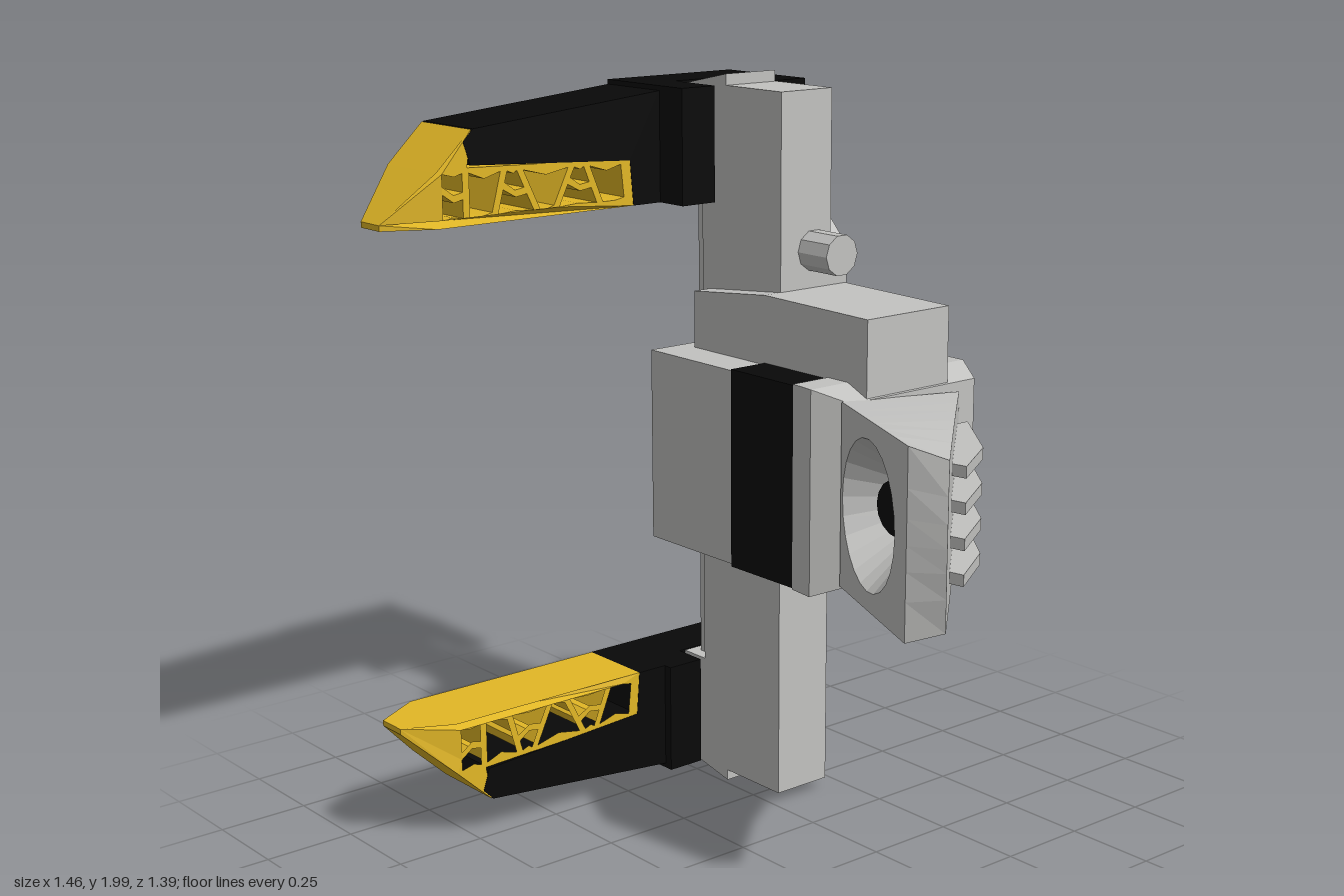
import * as THREE from 'three';

const mat = (name, color) => {
  const m = new THREE.MeshStandardMaterial({ color, flatShading: true });
  m.name = name;
  return m;
};

export function createModel() {
  const model = new THREE.Group();
  model.name = 'parallelGripper';
  const grey = mat('metal grey', 0xc2c2c0);
  const black = mat('black plastic', 0x090909);
  const yellow = mat('yellow pad', 0xe2b726);

  const add = (name, geo, material) => {
    const mesh = new THREE.Mesh(geo, material);
    mesh.name = name;
    model.add(mesh);
    return mesh;
  };
  // Box from its limits
  const box = (name, material, x0, x1, y0, y1, z0, z1) =>
    add(name, new THREE.BoxGeometry(x1 - x0, y1 - y0, z1 - z0)
      .translate((x0 + x1) / 2, (y0 + y1) / 2, (z0 + z1) / 2), material);
  const v2 = (pts) => pts.map(([a, b]) => new THREE.Vector2(a, b));
  const extrude = (pts, depth, holes = []) => {
    const shape = new THREE.Shape(v2(pts));
    holes.forEach((h) => shape.holes.push(new THREE.Path(v2(h))));
    return new THREE.ExtrudeGeometry(shape, { depth, bevelEnabled: false });
  };
  // Plan outline [x, z] raised from y0 to y1
  const planPrism = (pts, y0, y1) =>
    extrude(pts.map(([x, z]) => [x, -z]), y1 - y0).rotateX(-Math.PI / 2).translate(0, y0, 0);
  // Side outline [z, y] extruded from x0 to x1
  const sidePrism = (pts, x0, x1, holes) =>
    extrude(pts, x1 - x0, holes).rotateY(-Math.PI / 2).translate(x1, 0, 0);
  // Move the vertices of a geometry by a rule
  const bend = (geo, rule) => {
    const p = geo.attributes.position, v = new THREE.Vector3();
    for (let i = 0; i < p.count; i++) {
      v.fromBufferAttribute(p, i);
      rule(v);
      p.setXYZ(i, v.x, v.y, v.z);
    }
    geo.computeVertexNormals();
    return geo;
  };

  // Linear rail with its guide strip
  box('rail', grey, -0.48, -0.16, 0.04, 1.97, -0.44, -0.265);
  box('guideStrip', grey, -0.54, -0.48, 0.04, 1.97, -0.4, -0.3);

  // Two mirrored fingers
  const finger = (flip, frontArm) => {
    const side = flip ? 'lower' : 'upper';
    const fy = (y) => (flip ? 2.01 - y : y);
    const my = (pts) => pts.map(([z, y]) => [z, fy(y)]);
    const lo = Math.min(fy(1.66), fy(1.968)), hi = Math.max(fy(1.66), fy(1.968));

    // C-shaped carriage around the rail
    add(side + 'Carriage', planPrism([[-0.73, -0.57], [-0.41, -0.57], [-0.41, -0.46], [-0.575, -0.46],
      [-0.575, -0.25], [frontArm, -0.25], [frontArm, -0.14], [-0.73, -0.14]], lo, hi), black);
    const clip = bend(new THREE.BoxGeometry(0.19, 0.34, 0.17).translate(-0.475, fy(1.83), -0.35), (v) => {
      if (v.x < -0.5 && Math.abs(v.y - 1.005) > 0.9) v.y = fy(1.96);
    });
    add(side + 'RailClip', clip, grey);

    // Finger beam
    add(side + 'FingerBeam', sidePrism(my([[-0.2, 1.66], [-0.05, 1.66], [-0.04, 1.78], [0.46, 1.81],
      [0.48, 1.87], [0.45, 1.9], [-0.14, 1.955], [-0.2, 1.955]]), -0.73, -0.505), black);

    // Lattice pad: slanted webs, every other cell split in two, and a tapered tip
    const cuts = [[-0.03, -0.02], [0.06, 0.1], [0.2, 0.15], [0.26, 0.31], [0.39, 0.36], [0.475, 0.475], [0.555, 0.555]];
    const holes = [];
    for (let i = 0; i < cuts.length - 1; i++) {
      const [a, b] = cuts[i], [c, d] = cuts[i + 1];
      // Point in the cell: s across, t from the flat face up to the beam
      const at = (s, t) => {
        const l = a + 0.01 + (b - a) * t, r = c - 0.01 + (d - c) * t;
        const z = l + (r - l) * s;
        return [z, 1.68 + t * (0.093 + z * 0.04)];
      };
      if (i % 2) {
        holes.push(my([at(0, 0), at(0.5, 0.04), at(1, 0), at(1, 0.56), at(0.45, 0.36), at(0, 0.42)]));
        holes.push(my([at(0, 0.58), at(0.45, 0.53), at(1, 0.73), at(1, 1), at(0.4, 0.93), at(0, 1)]));
      } else {
        holes.push(my([at(0, 0.06), at(0.4, 0), at(1, 0), at(1, 1), at(0.5, 0.85), at(0, 1)]));
      }
    }
    const pad = sidePrism(my([[-0.05, 1.66], [0.56, 1.66], [0.69, 1.66], [0.69, 1.675], [0.56, 1.8],
      [0.455, 1.899], [0.47, 1.805], [-0.05, 1.785]]), -0.729, -0.506, holes);
    bend(pad, (v) => { if (v.z > 0.6) v.x = -0.612 + (v.x + 0.612) * 0.38; });
    add(side + 'FingerPad', pad, yellow);
  };
  finger(false, -0.41);
  finger(true, -0.48);

  // Main body, strap and upper housing
  box('frontCover', grey, -0.5, -0.15, 0.74, 1.265, -0.25, -0.1);
  box('strap', black, -0.16, 0.09, 0.735, 1.27, -0.62, -0.095);
  add('bodyEnd', bend(new THREE.BoxGeometry(0.15, 0.542, 0.53, 2, 1, 1).translate(0.16, 1.003, -0.358), (v) => {
    if (v.x > 0.2) {
      v.y = 1.005 + (v.y - 1.005) * 0.88;
      v.z = v.z > -0.3 ? -0.15 : -0.59;
    } else if (v.x > 0.1 && v.z > -0.3) v.z = -0.085;
  }), grey);
  add('upperHousing', extrude([[-0.45, 1.2], [0.23, 1.2], [0.23, 1.445], [-0.16, 1.45], [-0.45, 1.42]], 0.285)
    .translate(0, 0, -0.495), grey);
  add('rearBrace', extrude([[-0.48, 1.2], [-0.16, 1.2], [-0.16, 1.55], [-0.24, 1.63], [-0.42, 1.63], [-0.48, 1.42]], 0.08)
    .translate(0, 0, -0.5), grey);
  add('knob', new THREE.CylinderGeometry(0.055, 0.055, 0.13, 10).rotateZ(Math.PI / 2).translate(-0.115, 1.55, -0.38), grey);

  // Octagonal rear mounting flange, its rear face drawn in
  const ring = (rx, ry, n) => Array.from({ length: n }, (_, i) => {
    const a = (i / n) * Math.PI * 2;
    return [-0.265 + rx * Math.cos(a), 1.01 + ry * Math.sin(a)];
  });
  add('rearFlange', bend(extrude(ring(0.345, 0.3, 8), 0.105, [ring(0.19, 0.17, 8)]).translate(0, 0, -0.697), (v) => {
    if (v.z < -0.65) {
      v.y = 0.98 + (v.y - 0.99) * 0.9;
      if (v.x < -0.47) v.x += 0.08;
    }
  }), grey);
  add('flangeCore', new THREE.CylinderGeometry(0.2, 0.2, 0.17, 8).rotateX(Math.PI / 2).translate(-0.265, 1.01, -0.525), grey);
  add('flangeHub', new THREE.CylinderGeometry(0.07, 0.11, 0.05, 7).rotateX(-Math.PI / 2).translate(-0.265, 1.01, -0.63), grey);
  box('flangeSocket', black, -0.24, -0.05, 0.87, 1.17, -0.625, -0.5);
  for (const [y, r] of [[1.28, 0.05], [0.74, 0.04]]) {
    add('flangeBolt', new THREE.CylinderGeometry(r, r, 0.13, 8).rotateZ(Math.PI / 2).translate(-0.09, y, -0.64), grey);
  }

  // Sensor head: loops from the outer face, round the front rim and down into the bowl
  const N = 24, pos = [], idx = [];
  const outer = [[0.235, -0.535], [0.73, 0.0]], front = [[0.225, -0.13], [0.645, 0.05]];
  const loops = [
    { e: outer, h: 0.22, r: 0, sq: 0 },
    { e: outer, h: 0.22, r: 1, sq: 0.85 },
    { e: front, h: 0.24, r: 1, sq: 1 },
    { e: front, h: 0.24, r: 0.8, sq: 0, off: -0.14 },
    { e: front, h: 0.24, r: 0.38, sq: 0, off: -0.12, dz: -0.15 },
    { e: front, h: 0.24, r: 0, sq: 0, off: -0.12, dz: -0.15 },
  ];
  loops.forEach(({ e: [p, q], h, r, sq, off = 0, dz = 0 }, i) => {
    for (let j = 0; j < N; j++) {
      const a = (j / N) * Math.PI * 2, c = Math.cos(a), s = Math.sin(a);
      const k = r * (1 + sq * (1 / Math.max(Math.abs(c), Math.abs(s)) - 1));
      const t = (c * k + off + 1) / 2;
      pos.push(p[0] + (q[0] - p[0]) * t, 1.008 + h * s * k, p[1] + (q[1] - p[1]) * t + dz);
      if (i < loops.length - 1) {
        const A = i * N + j, B = i * N + (j + 1) % N;
        idx.push(A, B, B + N, A, B + N, A + N);
      }
    }
  });
  let head = new THREE.BufferGeometry();
  head.setAttribute('position', new THREE.Float32BufferAttribute(pos, 3));
  head.setIndex(idx);
  head = head.toNonIndexed();
  head.computeVertexNormals();
  add('sensorHead', head, grey);
  add('lens', new THREE.CylinderGeometry(0.075, 0.075, 0.06, 16).rotateX(Math.PI / 2).translate(0.41, 1.008, -0.18), black);

  // Cooling fins on the outer side of the head
  for (const y of [0.86, 0.95, 1.04, 1.13]) {
    add('coolingFin', planPrism([[0.32, -0.48], [0.36, -0.45], [0.53, -0.32], [0.63, -0.16], [0.58, -0.15], [0.32, -0.42]],
      y, y + 0.03), grey);
  }
  return model;
}
